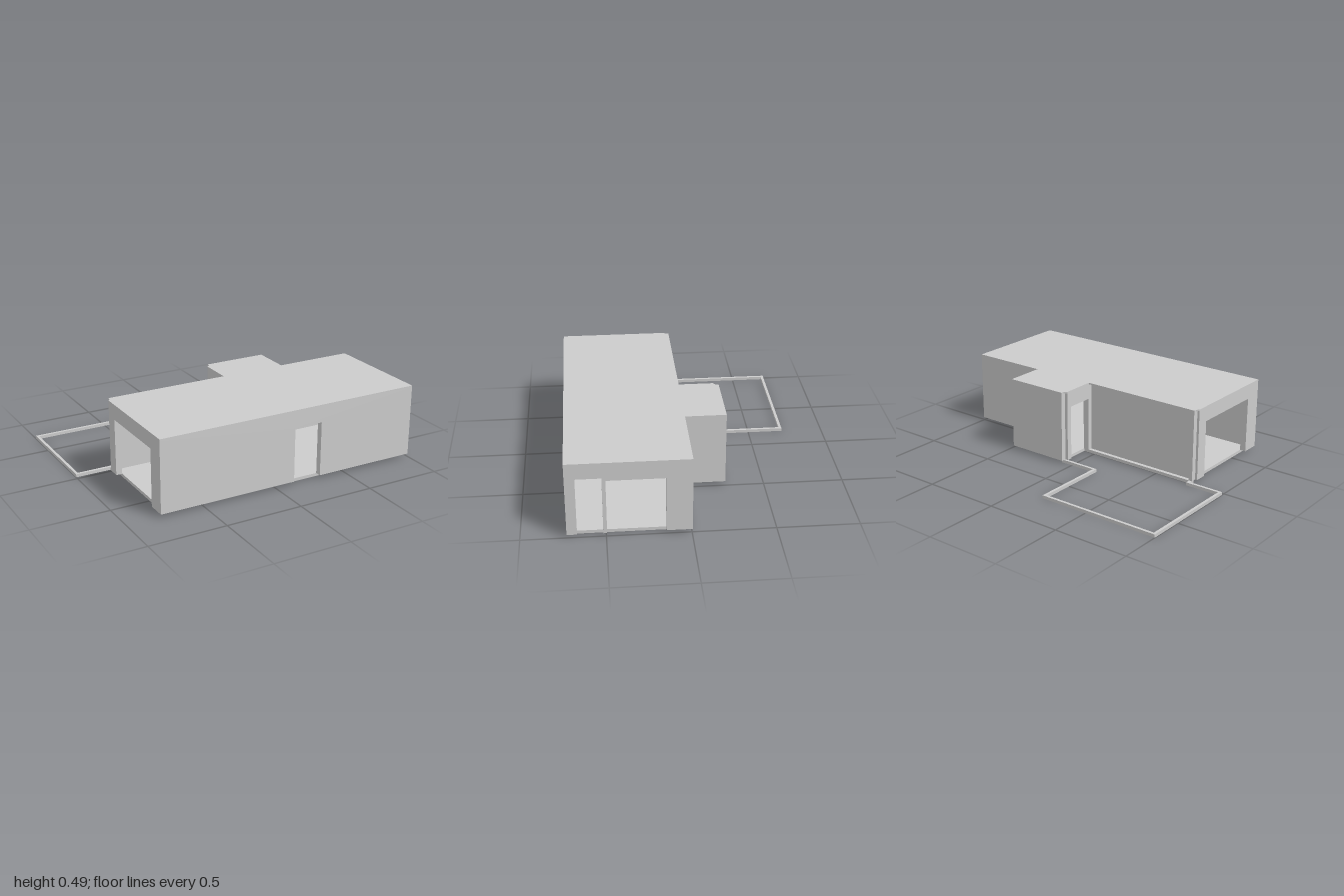
import * as THREE from 'three';

const FLOOR = 0.02, CEIL = 0.48, TOP = 0.49, T = 0.04;

export function createModel() {
  const house = new THREE.Group();
  house.name = 'house';
  const material = new THREE.MeshStandardMaterial({ color: 0xcccccc });

  const add = (name, geometry) => {
    const mesh = new THREE.Mesh(geometry, material);
    mesh.name = name;
    house.add(mesh);
    return mesh;
  };
  const toShape = (points) => new THREE.Shape(points.map(([a, b]) => new THREE.Vector2(a, b)));
  const extrude = (points, depth) =>
    new THREE.ExtrudeGeometry(toShape(points), { depth, bevelEnabled: false });

  // Horizontal plate from an x/z outline, hanging down from its top height
  const plate = (name, outline, top, thickness) =>
    add(name, extrude(outline, thickness).rotateX(Math.PI / 2).translate(0, top, 0));

  // Wall elevation with openings [from, to, top] cut up from the floor
  const elevation = (from, to, openings) => [
    [from, FLOOR],
    ...openings.flatMap(([a, b, h]) => [[a, FLOOR], [a, h], [b, h], [b, FLOOR]]),
    [to, FLOOR], [to, CEIL], [from, CEIL],
  ];
  const wallAlongX = (name, from, to, z, openings = [], thickness = T) =>
    add(name, extrude(elevation(from, to, openings), thickness).translate(0, 0, z));
  const wallAlongZ = (name, from, to, x, openings = []) =>
    add(name, extrude(elevation(from, to, openings), T).rotateY(-Math.PI / 2).translate(x + T, 0, 0));

  // Roof, with clipped corners at the two terrace posts
  plate('roof', [
    [-0.785, 0.73], [1, 0.73], [1, -0.005], [0.485, -0.005], [0.485, -0.26],
    [0.065, -0.26], [0.065, -0.24], [0.045, -0.225], [0.045, -0.005],
    [-0.77, -0.005], [-0.77, 0.015], [-0.785, 0.03],
  ], TOP, TOP - CEIL);

  // Floor slab inside the walls, reaching out under the recessed rear wall
  plate('floorSlab', [
    [-0.745, 0.69], [0.96, 0.69], [0.96, 0.035], [0.445, 0.035], [0.445, -0.22],
    [0.085, -0.22], [0.085, -0.005], [-0.745, -0.005],
  ], FLOOR, FLOOR);

  // Main block walls
  wallAlongX('frontWall', -0.785, 1, 0.69, [[0.125, 0.315, 0.375]]);
  wallAlongZ('leftWall', -0.005, 0.69, 0.96, [[0.148, 0.495, 0.373], [0.517, 0.67, 0.39]]);
  wallAlongZ('rightWall', 0.03, 0.69, -0.785, [[0.11, 0.61, 0.39]]);
  wallAlongX('backWall', 0.485, 0.96, -0.005);
  wallAlongX('recessedBackWall', -0.745, 0.085, 0.02, [], 0.015);
  wallAlongX('cornerPost', -0.77, -0.745, -0.005);

  // Rear extension walls
  wallAlongZ('extensionLeftWall', -0.22, 0.035, 0.445);
  wallAlongX('extensionBackWall', 0.065, 0.485, -0.26);
  wallAlongZ('extensionRightWall', -0.225, 0.02, 0.045, [[-0.19, -0.01, 0.38]]);

  // Thin kerb around the terrace, following a line of x/z points
  const kerb = [
    [0.075, -0.232], [-0.18, -0.232], [-0.18, -0.72], [-0.99, -0.72],
    [-0.99, -0.03], [-0.759, -0.03], [-0.759, 0.01],
  ];
  const w = 0.018;
  kerb.slice(1).forEach(([x, z], i) => {
    const [px, pz] = kerb[i];
    const strip = add('terraceKerb',
      new THREE.BoxGeometry(Math.abs(x - px) + w, FLOOR, Math.abs(z - pz) + w));
    strip.position.set((x + px) / 2, FLOOR / 2, (z + pz) / 2);
  });

  return house;
}
